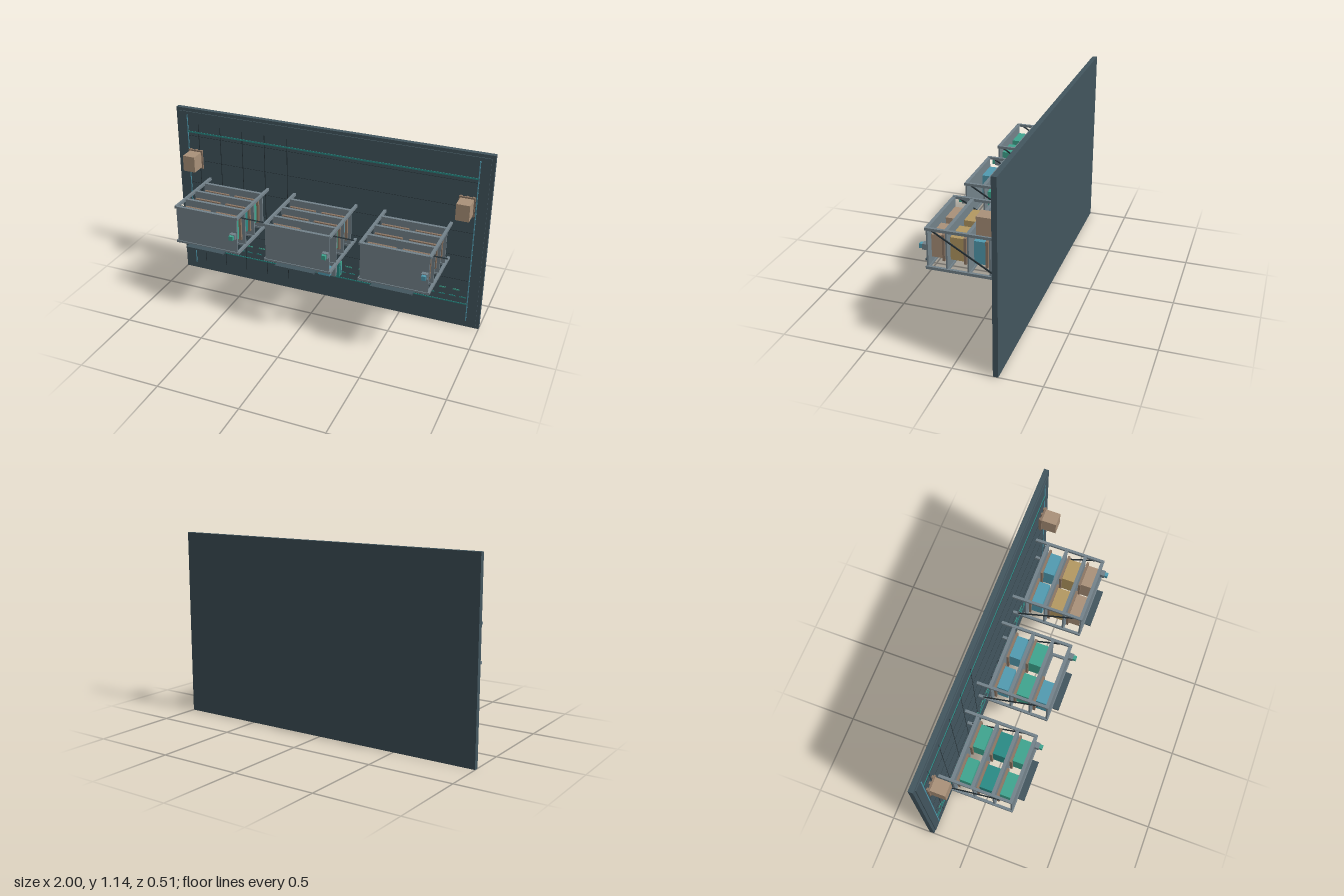
import * as THREE from 'three';

const mat = (name, color) => {
  const m = new THREE.MeshStandardMaterial({ color });
  m.name = name;
  return m;
};

export function createModel() {
  const slate = mat('slate', 0x43565f);
  const dark = mat('dark', 0x263238);
  const steel = mat('steel', 0x74838b);
  const tan = mat('tan', 0xab927a);
  const pallet = mat('palletBrown', 0x8d7765);
  const green = mat('green', 0x40a690);
  const teal = mat('teal', 0x2a8c86);
  const blue = mat('blue', 0x529cb1);
  const gold = mat('gold', 0xb59a62);

  const model = new THREE.Group();
  model.name = 'warehouse';

  // Box given by its low and high corners
  const box = (parent, name, m, x0, x1, y0, y1, z0, z1) => {
    const mesh = new THREE.Mesh(new THREE.BoxGeometry(x1 - x0, y1 - y0, z1 - z0), m);
    mesh.position.set((x0 + x1) / 2, (y0 + y1) / 2, (z0 + z1) / 2);
    mesh.name = name;
    parent.add(mesh);
    return mesh;
  };
  const group = (name) => {
    const g = new THREE.Group();
    g.name = name;
    model.add(g);
    return g;
  };

  // Floor slab standing upright, with a raised deck
  const floor = group('floor');
  const top = -0.2215;
  box(floor, 'slab', slate, -1, 1, 0, 1.136, -0.257, -0.2275);
  box(floor, 'deck', slate, -0.98, 0.98, 0.02, 1.116, -0.2275, top);

  // Thin seams in the deck
  for (let i = 0; i < 5; i++) {
    const x = -0.85 + i * 0.15;
    box(floor, 'seam', dark, x - 0.002, x + 0.002, 0.07, 1.04, top, top + 0.001);
  }
  for (let i = 0; i < 6; i++) {
    const y = 0.16 + i * 0.16;
    box(floor, 'crossSeam', dark, -0.92, 0.92, y - 0.001, y + 0.001, top, top + 0.0008);
  }

  // Painted lane lines and dashes
  const line = (name, m, x0, x1, y0, y1) => box(floor, name, m, x0, x1, y0, y1, top, top + 0.003);
  for (const x of [-0.924, 0.919]) line('sideLine', blue, x - 0.003, x + 0.003, 0.045, 1.095);
  line('rearLine', teal, -0.924, 0.919, 0.98, 0.99);
  line('frontLine', teal, -0.924, 0.919, 0.157, 0.164);
  for (let i = 0; i < 21; i++) {
    const x = -0.885 + i * 0.0855;
    line('guideDash', green, x, x + 0.042, 0.245, 0.253);
  }
  for (let i = 0; i < 29; i++) {
    const x = -0.924 + i * 0.064;
    line('laneDash', teal, x, x + 0.04, 0.201, 0.207);
  }

  // Storage racks
  const racks = [
    { x: -0.583, rows: [[green, green], [teal, teal], [green, green]], lamp: green },
    { x: 0, rows: [[blue, blue], [green, green], [blue, null]], lamp: green },
    { x: 0.583, rows: [[blue, blue], [gold, gold], [tan, tan]], lamp: blue },
  ];
  const levels = [-0.141, -0.021, 0.1, 0.208];
  const heights = [0.063, 0.075, 0.061];
  const yLow = 0.455, yHigh = 0.684, yMid = 0.57;

  for (const { x, rows, lamp } of racks) {
    const rack = group('rack');
    rack.position.x = x;

    for (const s of [-1, 1]) {
      const px = s * 0.201;
      for (const y of [yLow, yHigh]) {
        box(rack, 'post', steel, px - 0.008, px + 0.008, y - 0.008, y + 0.008, top, 0.217);
      }
      // Diagonal end brace
      const dy = 0.217, dz = -0.37;
      const brace = new THREE.Mesh(new THREE.BoxGeometry(0.006, 0.008, Math.hypot(dy, dz)), dark);
      brace.position.set(s * 0.203, 0.57, -0.005);
      brace.rotation.x = Math.atan2(dy, -dz) * -1;
      brace.name = 'brace';
      rack.add(brace);
    }

    // Shelf panels with a beam on both long edges
    for (const z of levels) {
      box(rack, 'shelf', steel, -0.2, 0.2, yLow, yHigh, z - 0.0045, z + 0.0045);
      for (const y of [yLow, yHigh]) {
        box(rack, 'beam', steel, -0.201, 0.201, y - 0.006, y + 0.006, z - 0.01, z + 0.01);
      }
    }

    // Pallets and labelled crates
    rows.forEach((row, r) => row.forEach((m, c) => {
      if (!m) return;
      const cx = c ? 0.102 : -0.102;
      const z = levels[r] + 0.016;
      const z0 = z + 0.018, z1 = z0 + heights[r];
      box(rack, 'pallet', pallet, cx - 0.083, cx + 0.083, 0.497, 0.651, z, z + 0.014);
      box(rack, 'crate', m, cx - 0.069, cx + 0.069, 0.506, 0.639, z + 0.014, z1);
      box(rack, 'crateLabel', dark, cx - 0.03, cx + 0.03, 0.502, 0.506, z0 + 0.014, z1 - 0.016);
    }));

    // Header sign and status lamp
    box(rack, 'sign', slate, -0.122, 0.122, 0.444, 0.455, 0.217, 0.257);
    box(rack, 'lampBase', steel, 0.163, 0.198, 0.554, 0.588, 0.2125, 0.238);
    box(rack, 'lamp', lamp, 0.168, 0.193, 0.558, 0.584, 0.238, 0.257);
  }

  // Loose crates on pallets
  for (const x of [-0.871, 0.866]) {
    const stack = group('looseCrate');
    stack.position.x = x;
    box(stack, 'palletDeck', pallet, -0.048, 0.048, 0.753, 0.873, -0.212, -0.203);
    for (const px of [-0.036, 0, 0.036]) {
      box(stack, 'palletRunner', pallet, px - 0.007, px + 0.007, 0.753, 0.873, top, -0.212);
    }
    box(stack, 'crate', tan, -0.04, 0.04, 0.763, 0.864, -0.203, -0.114);
  }

  // Transport cart
  const cart = group('cart');
  cart.position.set(0.037, 0.246, 0);
  box(cart, 'cartBody', teal, -0.079, 0.079, -0.053, 0.053, -0.21, -0.174);
  box(cart, 'cartDeck', steel, -0.063, 0.063, -0.043, 0.041, -0.174, -0.15);
  box(cart, 'cartLoad', blue, -0.038, 0.038, -0.028, 0.029, -0.15, -0.116);
  for (const s of [-1, 1]) {
    const bumper = s * 0.081;
    box(cart, 'bumper', green, bumper - 0.004, bumper + 0.004, -0.045, 0.045, -0.203, -0.183);
    box(cart, 'bumperLight', blue, s * 0.086 - 0.002, s * 0.086 + 0.002, -0.027, 0.027, -0.19, -0.18);
    for (const t of [-1, 1]) {
      const wheel = new THREE.Mesh(new THREE.CylinderGeometry(0.014, 0.014, 0.016, 16), dark);
      wheel.position.set(s * 0.055, t * 0.051, -0.205);
      wheel.name = 'wheel';
      cart.add(wheel);
    }
  }

  return model;
}
